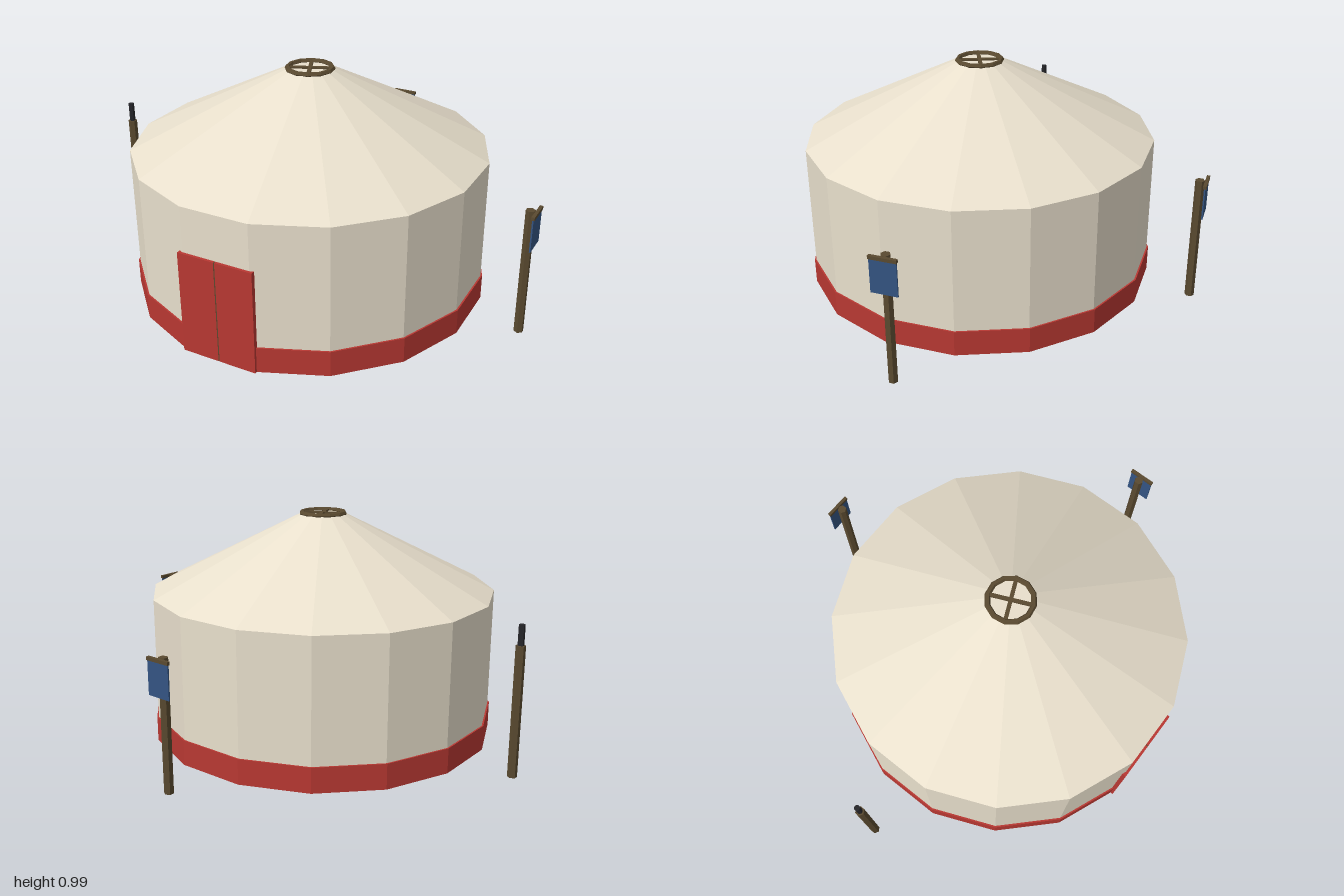
import * as THREE from 'three';

const mat = (color) => new THREE.MeshStandardMaterial({ color, flatShading: true });
const CLOTH = mat(0xe8dfcc), RED = mat(0xb83832), WOOD = mat(0x5a4a30);
const BLUE = mat(0x345482), DARK = mat(0x26262a);

function add(parent, name, geometry, material, x = 0, y = 0, z = 0) {
  const mesh = new THREE.Mesh(geometry, material);
  mesh.name = name;
  mesh.position.set(x, y, z);
  parent.add(mesh);
  return mesh;
}

// Sixteen-sided drum standing from y0 to y1, with one flat facing +z
function drum(rTop, rBottom, y0, y1) {
  const g = new THREE.CylinderGeometry(rTop, rBottom, y1 - y0, 16);
  g.rotateY(Math.PI / 16);
  g.translate(0, (y0 + y1) / 2, 0);
  return g;
}

function createTent() {
  const tent = new THREE.Group();
  tent.name = 'roundTent';
  add(tent, 'baseBand', drum(0.769, 0.769, 0, 0.11), RED);
  add(tent, 'wall', drum(0.762, 0.762, 0.1, 0.64), CLOTH);
  add(tent, 'roof', drum(0.1, 0.762, 0.64, 0.974), CLOTH);

  // Double door with a seam between the leaves
  for (const side of [-1, 1]) {
    add(tent, side > 0 ? 'leftDoorLeaf' : 'rightDoorLeaf',
      new THREE.BoxGeometry(0.163, 0.445, 0.024), RED, side * 0.084, 0.2225, 0.747);
  }
  add(tent, 'doorSeam', new THREE.BoxGeometry(0.006, 0.443, 0.024), WOOD, 0, 0.2225, 0.7465);

  // Crown ring with crossed spokes
  const crown = new THREE.Group();
  crown.name = 'crown';
  crown.position.y = 0.976;
  crown.rotation.y = 0.41;
  const ring = new THREE.TorusGeometry(0.094, 0.012, 6, 12);
  ring.rotateX(Math.PI / 2);
  add(crown, 'crownRing', ring, WOOD);
  for (const turn of [0, Math.PI / 2]) {
    add(crown, 'crownSpoke', new THREE.BoxGeometry(0.186, 0.012, 0.016), WOOD).rotation.y = turn;
  }
  tent.add(crown);
  tent.position.set(-0.007, 0, 0.122);
  tent.rotation.y = 0.015;
  return tent;
}

// Hexagonal wooden post
function createPost(name, x, z) {
  const post = new THREE.Group();
  post.name = name;
  post.position.set(x, 0, z);
  add(post, 'pole', new THREE.CylinderGeometry(0.02, 0.02, 0.557, 6), WOOD, 0, 0.2785, 0);
  return post;
}

export function createModel() {
  const model = new THREE.Group();
  model.name = 'tentCamp';
  model.add(createTent());

  // Post with a dark tip
  const tipPost = createPost('tipPost', -0.982, 0.122);
  add(tipPost, 'tip', new THREE.CylinderGeometry(0.013, 0.013, 0.09, 6), DARK, 0, 0.597, 0);
  model.add(tipPost);

  // Banner posts, with the cloth on the side facing away from the tent
  const sidePost = createPost('sideBannerPost', 0.967, 0.122);
  add(sidePost, 'banner', new THREE.BoxGeometry(0.006, 0.145, 0.11), BLUE, 0.026, 0.475, 0);
  add(sidePost, 'bannerRail', new THREE.BoxGeometry(0.014, 0.014, 0.114), WOOD, 0.026, 0.55, 0);
  const backPost = createPost('backBannerPost', -0.007, -0.851);
  add(backPost, 'banner', new THREE.BoxGeometry(0.11, 0.145, 0.006), BLUE, 0, 0.475, -0.027);
  add(backPost, 'bannerRail', new THREE.BoxGeometry(0.114, 0.014, 0.014), WOOD, 0, 0.55, -0.027);
  model.add(sidePost, backPost);
  return model;
}
